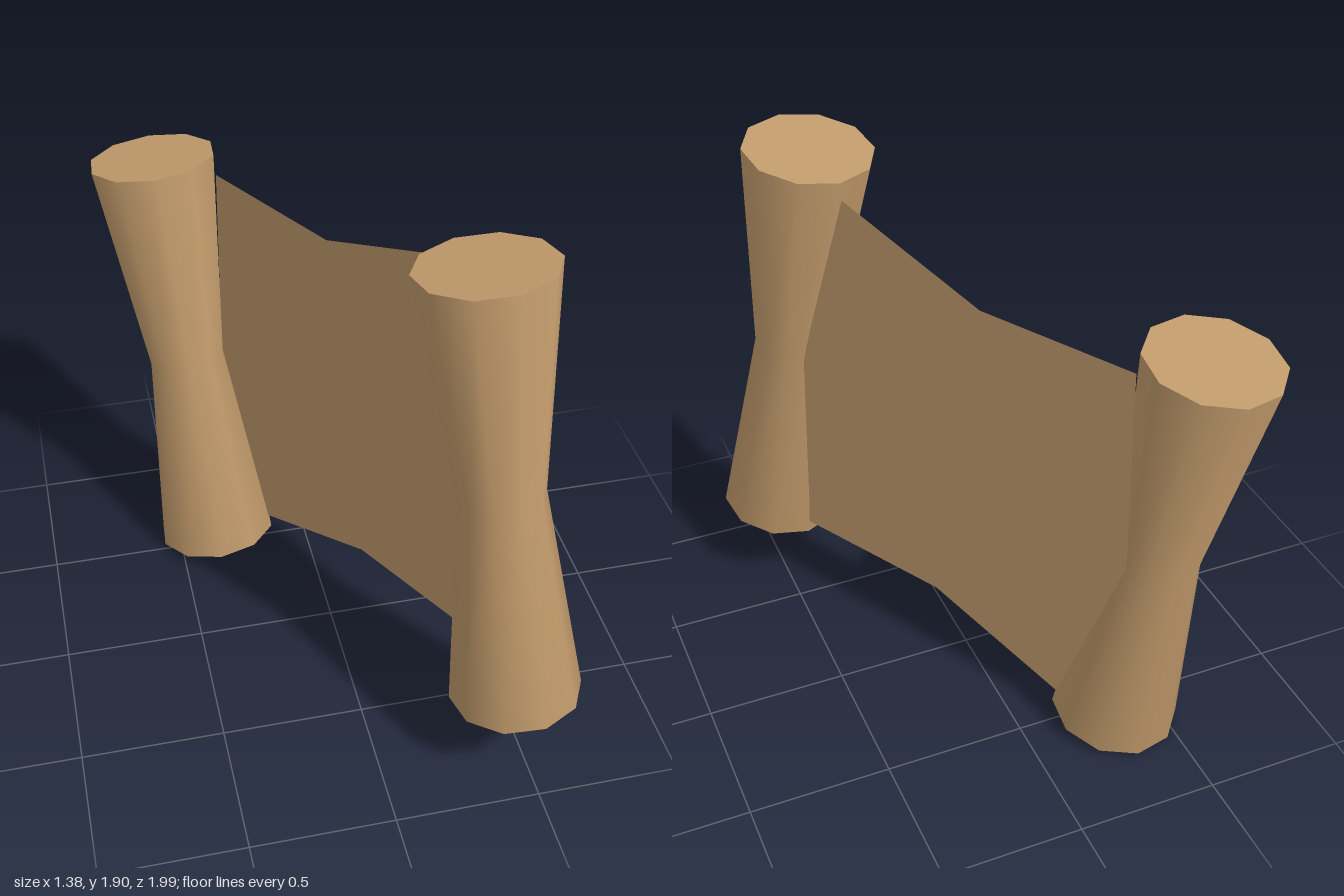
import * as THREE from 'three';

const parchment = new THREE.MeshStandardMaterial({ color: 0xc19a6b, side: THREE.DoubleSide });
parchment.name = 'parchment tan';

// Ten-sided roll, pinched at the waist, standing on a leaning axis
function roll(name, bottom, top, turn) {
  const axis = top.clone().sub(bottom);
  const h = axis.length();
  const g = new THREE.CylinderGeometry(0.226, 0.226, h, 10, 2, false, turn);
  const p = g.attributes.position;
  for (let i = 0; i < p.count; i++) {
    const r = Math.hypot(p.getX(i), p.getZ(i));
    if (Math.abs(p.getY(i)) < 0.01 && r > 0.1) {
      p.setX(i, p.getX(i) * 0.63);
      p.setZ(i, p.getZ(i) * 0.63);
    }
  }
  const mesh = new THREE.Mesh(g, parchment);
  mesh.name = name;
  mesh.position.copy(bottom).add(top).multiplyScalar(0.5);
  mesh.quaternion.setFromUnitVectors(new THREE.Vector3(0, 1, 0), axis.normalize());
  return mesh;
}

export function createModel() {
  const model = new THREE.Group();
  model.name = 'scroll';
  const V = (x, y, z) => new THREE.Vector3(x, y, z);
  const deg = Math.PI / 180;

  model.add(roll('backRoll', V(-0.347, 0.042, -0.553), V(-0.474, 1.612, -0.775), -4 * deg));
  model.add(roll('frontRoll', V(0.466, 0.297, 0.775), V(0.337, 1.868, 0.549), 9 * deg));

  // Flat open sheet stretched between the rolls, following their waists
  const outline = [
    [-0.783, 1.565], [-0.195, 1.565], [0.377, 1.77], [0.606, 1.07],
    [0.64, 0.31], [0, 0.31], [-0.549, 0.12], [-0.8, 0.82],
  ].map(([u, y]) => new THREE.Vector2(u, y));
  const sheet = new THREE.Mesh(new THREE.ShapeGeometry(new THREE.Shape(outline)), parchment);
  sheet.name = 'sheet';
  sheet.position.x = 0.118;
  sheet.rotation.y = -61 * deg;
  model.add(sheet);

  return model;
}
